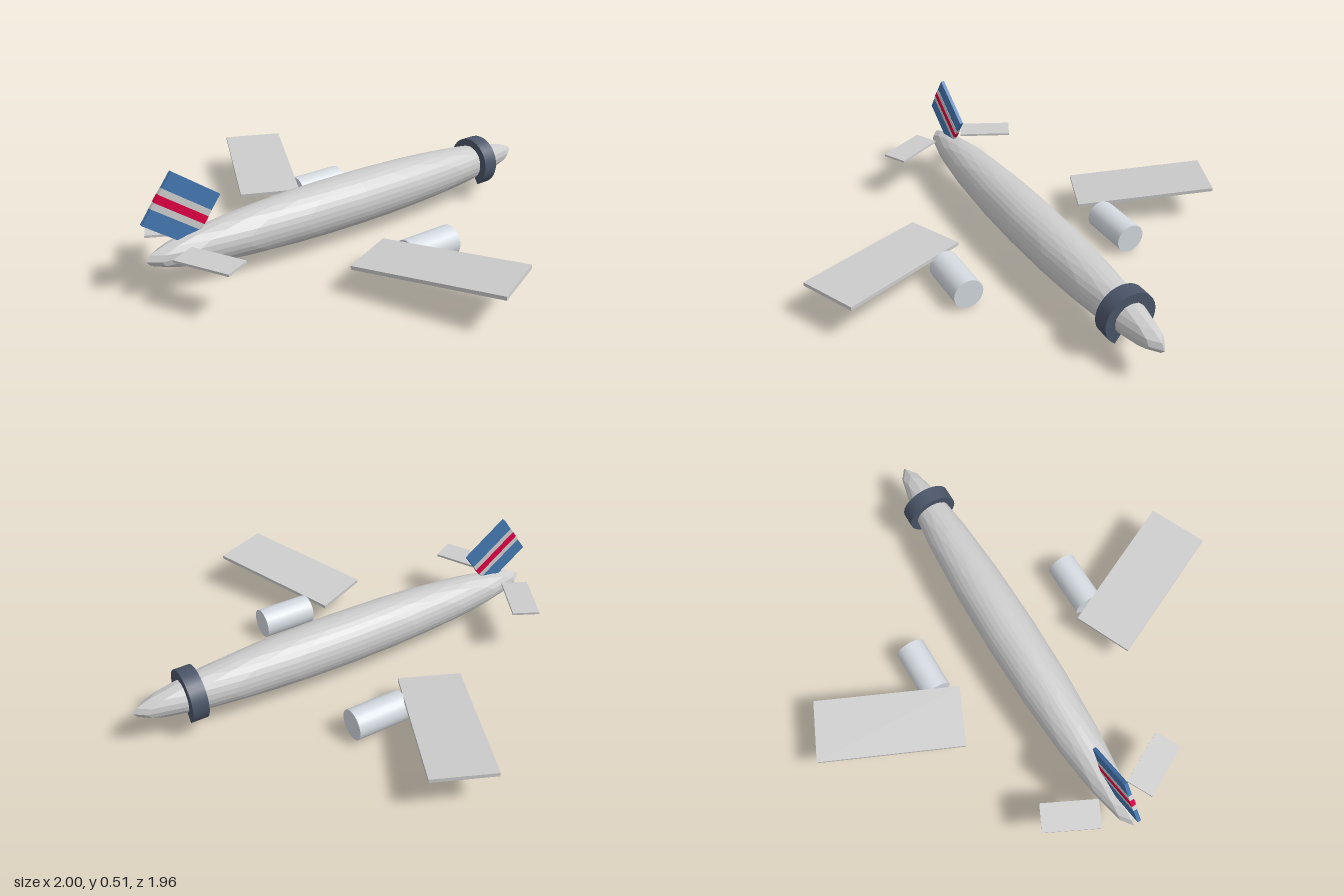
import * as THREE from 'three';

const mat = (color, flatShading = false) =>
  new THREE.MeshStandardMaterial({ color, flatShading, side: THREE.DoubleSide });

function add(parent, name, geometry, material, position = [0, 0, 0], rotation = [0, 0, 0]) {
  const mesh = new THREE.Mesh(geometry, material);
  mesh.name = name;
  mesh.position.set(...position);
  mesh.rotation.set(...rotation);
  parent.add(mesh);
  return mesh;
}

export function createModel() {
  const model = new THREE.Group();
  model.name = 'airplane';
  const grey = mat(0xcccccc, true);
  const engineGrey = mat(0xd3d9df);
  const slate = mat(0x4a5568);
  const blue = mat(0x4477b0);
  const red = mat(0xdd0044);

  // Fuselage: a faceted sphere stretched along z
  const body = new THREE.SphereGeometry(1, 20, 16).scale(0.117, 0.117, 0.98);
  add(model, 'fuselage', body, grey, [0, 0.17, 0]);

  // Cockpit band: open at the bottom
  const arc = Math.PI * 1.6;
  const band = new THREE.CylinderGeometry(0.115, 0.115, 0.07, 24, 1, false, Math.PI - arc / 2, arc);
  band.rotateX(Math.PI / 2);
  add(model, 'cockpitBand', band, slate, [0, 0.17, -0.735]);

  // Wings, engines and stabilizers, mirrored left and right
  for (const [side, s] of [['left', 1], ['right', -1]]) {
    add(model, side + 'Wing', new THREE.BoxGeometry(0.636, 0.016, 0.27), grey,
      [s * 0.655, 0.138, 0.072], [0, s * 0.415, s * 0.075]);
    const engine = new THREE.CylinderGeometry(0.067, 0.067, 0.24, 24).rotateX(Math.PI / 2);
    add(model, side + 'Engine', engine, engineGrey, [s * 0.405, 0.067, -0.09]);
    add(model, side + 'Stabilizer', new THREE.BoxGeometry(0.247, 0.01, 0.12), grey,
      [s * 0.207, 0.21, 0.816], [0, s * 0.47, 0]);
  }

  // Tail fin with stripes standing slightly proud of it
  const fin = new THREE.Group();
  fin.name = 'tailFin';
  fin.position.set(0, 0.347, 0.818);
  fin.rotation.x = -0.63;
  add(fin, 'finPanel', new THREE.BoxGeometry(0.016, 0.23, 0.245), blue);
  add(fin, 'paleStripe', new THREE.BoxGeometry(0.018, 0.088, 0.246), grey);
  add(fin, 'redStripe', new THREE.BoxGeometry(0.02, 0.034, 0.247), red);
  model.add(fin);

  return model;
}
